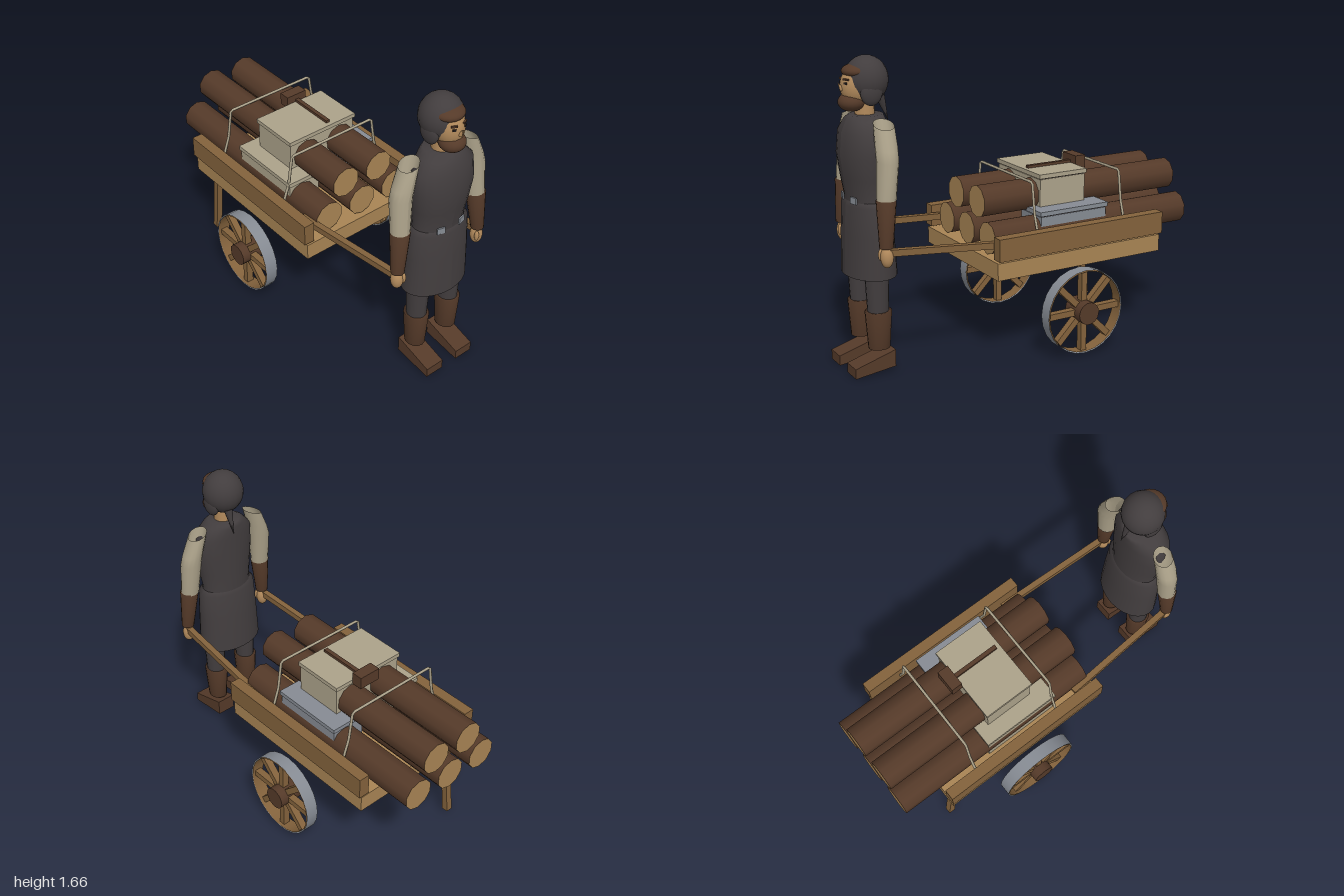
import * as THREE from 'three';

const mat = (name, color, side = THREE.FrontSide) => {
  const m = new THREE.MeshStandardMaterial({ color, side });
  m.name = name;
  return m;
};

export function createModel() {
  const D = THREE.DoubleSide;
  const charcoal = mat('charcoal cloth', 0x423d3e, D);
  const leather = mat('brown leather', 0x553a29, D);
  const wood = mat('dark wood', 0x83623c, D);
  const pale = mat('pale wood', 0xa88454);
  const linen = mat('linen', 0xaca28a, D);
  const skin = mat('skin', 0xb28a5c);
  const steel = mat('steel', 0x868b93, D);
  const dark = mat('eye dark', 0x2a2220);

  const model = new THREE.Group();
  model.name = 'workerWithHandcart';
  const group = (name) => {
    const g = new THREE.Group();
    g.name = name;
    model.add(g);
    return g;
  };
  const add = (parent, name, geo, material, x = 0, y = 0, z = 0) => {
    const m = new THREE.Mesh(geo, material);
    m.name = name;
    m.position.set(x, y, z);
    parent.add(m);
    return m;
  };
  // box given by its limits on each axis
  const block = (parent, name, material, x0, x1, y0, y1, z0, z1) =>
    add(parent, name, new THREE.BoxGeometry(x1 - x0, y1 - y0, z1 - z0), material,
      (x0 + x1) / 2, (y0 + y1) / 2, (z0 + z1) / 2);
  const ball = (parent, name, material, c, r) =>
    add(parent, name, new THREE.SphereGeometry(1, 20, 14).scale(...r), material, ...c);
  // square bar between two points
  const bar = (parent, name, material, a, b, w) => {
    const p = new THREE.Vector3(...a), q = new THREE.Vector3(...b);
    const m = add(parent, name, new THREE.BoxGeometry(w, w, p.distanceTo(q)), material);
    m.position.copy(p).add(q).multiplyScalar(0.5);
    m.lookAt(q);
    return m;
  };
  // open elliptical tube; rings run from top to bottom: [x, y, z, radius x, radius z, tilt]
  const loft = (parent, name, material, rings, sides = 20) => {
    const geo = new THREE.CylinderGeometry(1, 1, 1, sides, rings.length - 1, true);
    const p = geo.attributes.position;
    for (let i = 0; i < p.count; i++) {
      const [x, y, z, rx, rz, tilt = 0] = rings[Math.floor(i / (sides + 1))];
      const px = p.getX(i), pz = p.getZ(i);
      p.setXYZ(i, x + px * rx, y + px * rx * tilt, z + pz * rz);
    }
    geo.computeVertexNormals();
    return add(parent, name, geo, material);
  };

  // ---- cart bed, side boards, handles and prop leg
  const cart = group('cart');
  block(cart, 'deck', pale, -0.4, 0.4, 0.49, 0.585, -0.76, 0.285);
  for (const s of [-1, 1]) {
    const xs = [s * 0.355, s * 0.418].sort((a, b) => a - b);
    block(cart, 'sideBoard', wood, ...xs, 0.597, 0.72, -0.765, 0.285);
    bar(cart, 'handle', wood, [s * 0.325, 0.655, 0.15], [s * 0.283, 0.71, 0.87], 0.035);
  }
  bar(cart, 'propLeg', wood, [-0.305, 0.5, -0.685], [-0.305, 0.025, -0.74], 0.037);

  // ---- wheels
  for (const s of [-1, 1]) {
    const wheel = group('wheel');
    wheel.position.set(s * 0.457, 0.257, -0.207);
    const ring = (name, r, material) =>
      add(wheel, name, new THREE.CylinderGeometry(r, r, 0.075, 24, 1, true).rotateZ(Math.PI / 2), material);
    ring('tyre', 0.236, steel);
    ring('rimLining', 0.229, wood);
    add(wheel, 'hub', new THREE.CylinderGeometry(0.063, 0.063, 0.14, 14).rotateZ(Math.PI / 2), leather);
    for (let i = 0; i < 4; i++)
      add(wheel, 'spokePair', new THREE.BoxGeometry(0.04, 0.452, 0.035), wood).rotation.x = i * Math.PI / 4;
  }

  // ---- stacked logs with bark sides and cut ends
  const load = group('load');
  for (const [x, y] of [[-0.225, 0.677], [0.005, 0.677], [0.235, 0.677], [-0.11, 0.853], [0.12, 0.853]])
    add(load, 'log', new THREE.CylinderGeometry(0.089, 0.089, 1.255, 10).rotateX(Math.PI / 2),
      [leather, pale, pale], x, y, -0.3725);

  // ---- crates with lids
  const crate = (name, material, x0, x1, y0, y1, z0, z1) => {
    block(load, name, material, x0 + 0.008, x1 - 0.008, y0, y1 - 0.03, z0 + 0.008, z1 - 0.008);
    block(load, name + 'Lid', material, x0, x1, y1 - 0.024, y1, z0, z1);
    block(load, name + 'Seam', dark, x0 + 0.012, x1 - 0.012, y1 - 0.031, y1 - 0.023, z0 + 0.012, z1 - 0.012);
  };
  crate('linenCrate', linen, -0.23, 0.228, 0.79, 0.978, -0.378, -0.075);
  crate('steelChest', steel, 0.1, 0.32, 0.587, 0.797, -0.46, -0.025);
  crate('sideCrate', linen, -0.315, -0.1, 0.587, 0.797, -0.44, 0.025);

  // ---- hammer lying on the upper crate
  block(load, 'hammerHandle', leather, 0.043, 0.067, 0.976, 0.993, -0.38, -0.1);
  block(load, 'hammerHead', leather, -0.012, 0.117, 0.955, 1.025, -0.443, -0.378);

  // ---- two hoops over the load
  for (const z of [0.005, -0.557]) {
    const pts = [[-0.375, 0.585], [-0.305, 0.79], [-0.28, 0.96], [0.28, 0.96], [0.305, 0.79], [0.375, 0.585]]
      .map(([x, y]) => new THREE.Vector3(x, y, z));
    const path = new THREE.CurvePath();
    for (let i = 1; i < pts.length; i++) path.add(new THREE.LineCurve3(pts[i - 1], pts[i]));
    add(load, 'hoop', new THREE.TubeGeometry(path, 60, 0.008, 6), linen);
  }

  // ---- torso and apron skirt
  const man = group('worker');
  loft(man, 'torso', charcoal, [
    [0, 1.372, 0.83, 0.001, 0.001], [0, 1.368, 0.83, 0.09, 0.09], [0, 1.345, 0.837, 0.125, 0.103],
    [0, 1.285, 0.85, 0.18, 0.116], [0, 1.17, 0.857, 0.184, 0.121], [0, 1.05, 0.85, 0.168, 0.113],
    [0, 0.95, 0.843, 0.152, 0.103], [0, 0.88, 0.843, 0.165, 0.104]], 24);
  loft(man, 'apronSkirt', charcoal, [
    [0, 0.935, 0.843, 0.152, 0.1], [0, 0.908, 0.843, 0.183, 0.114], [0, 0.75, 0.84, 0.19, 0.126],
    [0, 0.53, 0.837, 0.196, 0.136]], 24);

  // ---- limbs, mirrored
  const foot = new THREE.Shape([[0.77, 0.128], [0.77, 0.035], [1, 0.008], [1, 0.062]]
    .map(([z, y]) => new THREE.Vector2(z, y)));
  for (const s of [-1, 1]) {
    loft(man, 'sleeve', linen, [
      [s * 0.195, 1.345, 0.82, 0.054, 0.054, -s * 0.38], [s * 0.23, 1.24, 0.825, 0.062, 0.057, -s * 0.3],
      [s * 0.247, 1.17, 0.828, 0.062, 0.056, -s * 0.1], [s * 0.258, 0.97, 0.845, 0.053, 0.05]], 14);
    loft(man, 'bracer', leather, [
      [s * 0.26, 0.978, 0.848, 0.001, 0.001], [s * 0.26, 0.976, 0.848, 0.055, 0.052],
      [s * 0.28, 0.735, 0.862, 0.036, 0.036], [s * 0.28, 0.734, 0.862, 0.001, 0.001]], 14);
    ball(man, 'hand', skin, [s * 0.28, 0.685, 0.86], [0.034, 0.056, 0.034]);
    ball(man, 'thumb', skin, [s * 0.258, 0.695, 0.885], [0.012, 0.032, 0.013]);

    loft(man, 'trouserLeg', charcoal, [
      [s * 0.11, 0.75, 0.845, 0.062, 0.066], [s * 0.112, 0.53, 0.845, 0.06, 0.064],
      [s * 0.112, 0.3, 0.842, 0.052, 0.055]], 14);
    loft(man, 'bootShaft', leather, [
      [s * 0.112, 0.345, 0.842, 0.05, 0.05], [s * 0.112, 0.345, 0.842, 0.066, 0.073],
      [s * 0.112, 0.14, 0.841, 0.052, 0.059], [s * 0.112, 0.139, 0.841, 0.001, 0.001]], 14);
    add(man, 'shoe', new THREE.ExtrudeGeometry(foot, { depth: 0.112, bevelEnabled: false })
      .rotateY(-Math.PI / 2).translate(0.056, 0, 0), leather, s * 0.106);
    add(man, 'beltClasp', new THREE.BoxGeometry(0.045, 0.035, 0.008), steel, s * 0.07, 0.94, 0.942)
      .rotation.y = s * 0.25;
  }

  // ---- head with coif, hair and beard
  add(man, 'neck', new THREE.CylinderGeometry(0.05, 0.052, 0.12, 16), skin, 0, 1.4, 0.835);
  ball(man, 'coif', charcoal, [0, 1.545, 0.822], [0.116, 0.123, 0.115]);
  for (const s of [-1, 1])
    ball(man, 'coifFlap', charcoal, [s * 0.08, 1.49, 0.83], [0.03, 0.07, 0.06]);
  ball(man, 'face', skin, [0, 1.515, 0.875], [0.077, 0.105, 0.085]);
  ball(man, 'hair', leather, [0, 1.592, 0.86], [0.086, 0.04, 0.09]);
  ball(man, 'beard', leather, [0, 1.437, 0.905], [0.07, 0.05, 0.07]);
  add(man, 'nose', new THREE.ConeGeometry(0.014, 0.045, 8).rotateX(0.55), skin, 0, 1.522, 0.965);
  for (const s of [-1, 1]) {
    const eye = add(man, 'eye', new THREE.BoxGeometry(0.018, 0.01, 0.008), dark, s * 0.035, 1.537, 0.949);
    const brow = add(man, 'eyebrow', new THREE.BoxGeometry(0.032, 0.009, 0.009), leather, s * 0.035, 1.556, 0.946);
    eye.rotation.y = brow.rotation.y = s * 0.45;
  }
  // knotted tail hanging behind the coif
  add(man, 'coifTail', new THREE.ConeGeometry(0.026, 0.15, 8).rotateX(Math.PI).rotateX(0.3),
    charcoal, 0.02, 1.39, 0.735);

  return model;
}
